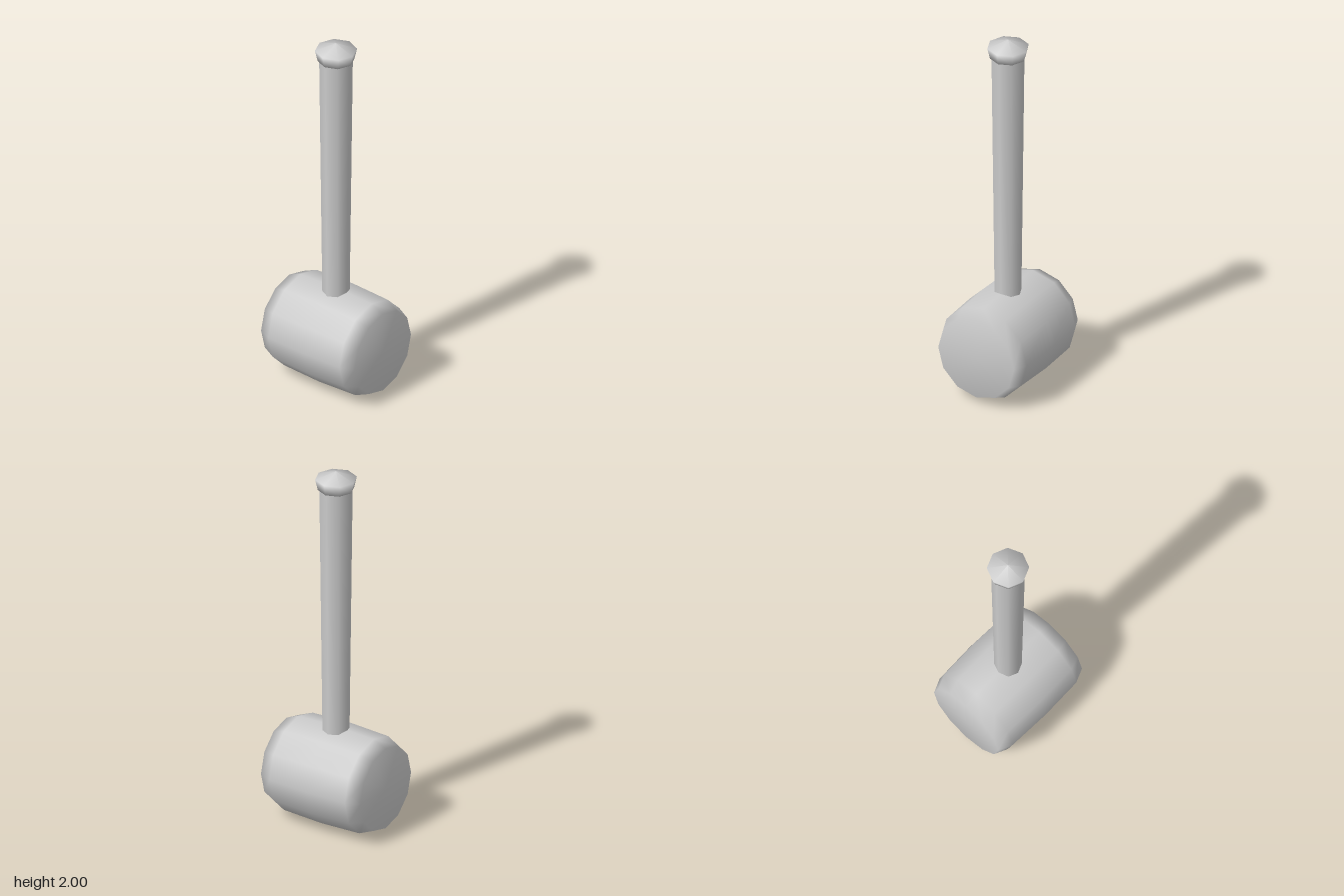
import * as THREE from 'three';

const material = new THREE.MeshStandardMaterial({ color: 0xcccccc });

// Smooth-shaded turned part from [radius, height] pairs, bottom to top
function turned(name, profile, sides) {
  const points = profile.map(([r, y]) => new THREE.Vector2(r, y));
  const mesh = new THREE.Mesh(new THREE.LatheGeometry(points, sides), material);
  mesh.name = name;
  return mesh;
}

export function createModel() {
  const mallet = new THREE.Group();
  mallet.name = 'mallet';

  // Barrel-shaped head lying along x, with bevelled ends
  const head = turned('head', [
    [0, -0.31], [0.228, -0.31], [0.26, -0.235], [0.268, 0],
    [0.26, 0.235], [0.228, 0.31], [0, 0.31],
  ], 12);
  head.rotation.z = -Math.PI / 2;
  head.position.y = 0.268;

  // Shaft widening slightly towards the grip end
  const handle = turned('handle', [[0.07, 0.45], [0.087, 1.91]], 8);

  // Pommel with a low conical top
  const pommel = turned('pommel', [
    [0, 1.9], [0.095, 1.9], [0.109, 1.96], [0, 2],
  ], 8);

  mallet.add(head, handle, pommel);
  return mallet;
}
